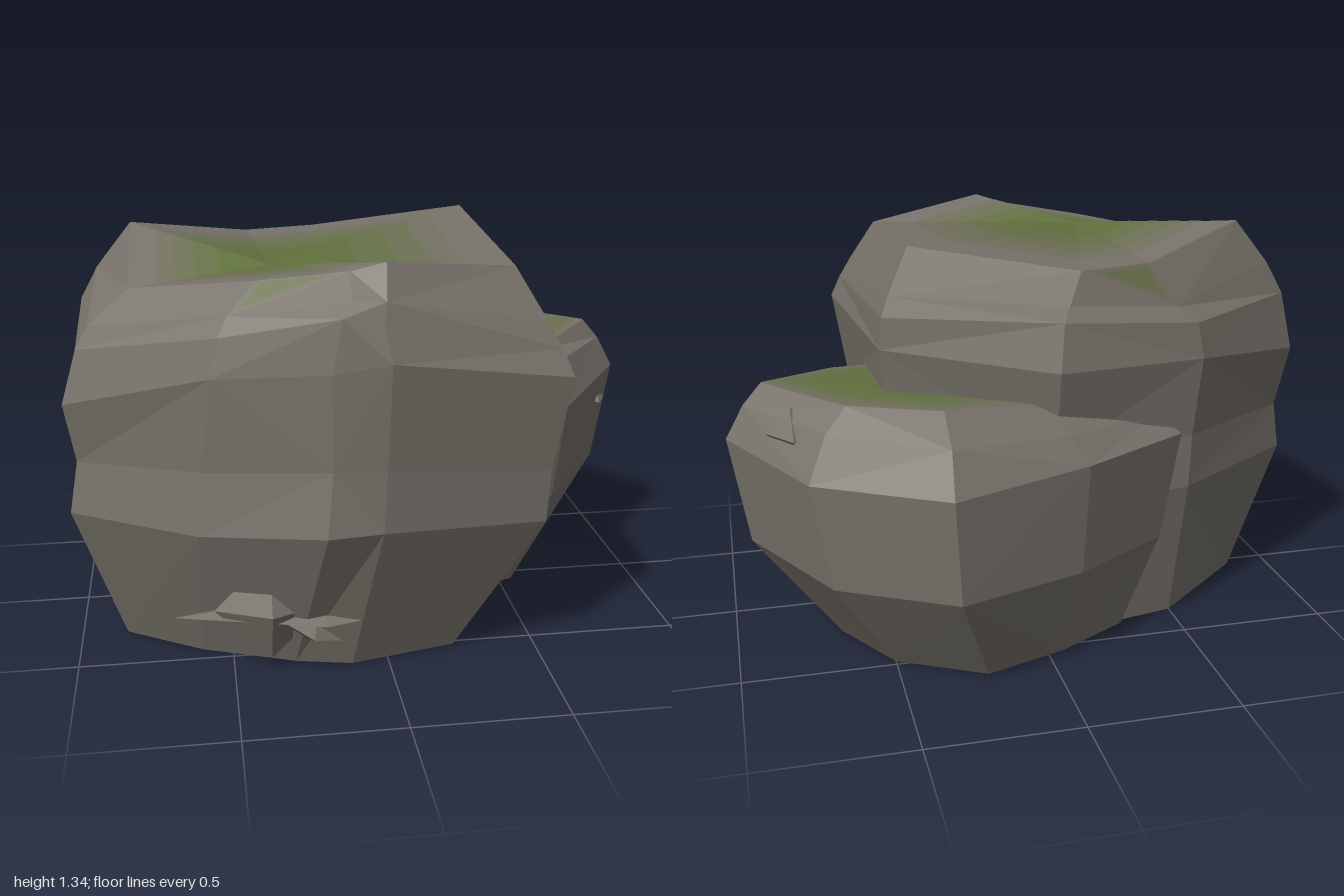
import * as THREE from 'three';

const stone = new THREE.MeshStandardMaterial({ color: 0x77726a, flatShading: true });
const mossColors = [0x72705f, 0x6c7054, 0x667048, 0x61703e];

function makeMesh(name, triangles, material) {
  const geometry = new THREE.BufferGeometry();
  geometry.setAttribute('position', new THREE.Float32BufferAttribute(triangles.flat(), 3));
  geometry.computeVertexNormals();
  const mesh = new THREE.Mesh(geometry, material);
  mesh.name = name;
  return mesh;
}

function centre(points) {
  return [0, 1, 2].map(k => points.reduce((sum, p) => sum + p[k], 0) / points.length);
}

// Joins cross-section rings (bottom to top) and closes both ends
function boulder(name, rings, top) {
  const tris = [];
  const n = rings[0].length;
  for (let r = 0; r < rings.length - 1; r++) {
    for (let i = 0; i < n; i++) {
      const j = (i + 1) % n;
      const [a, b, c, d] = [rings[r][i], rings[r][j], rings[r + 1][j], rings[r + 1][i]];
      if ((i + r) % 2) tris.push(a, b, c, a, c, d);
      else tris.push(a, b, d, b, c, d);
    }
  }
  const first = rings[0], last = rings[rings.length - 1];
  const bottom = centre(first);
  for (let i = 0; i < n; i++) {
    const j = (i + 1) % n;
    tris.push(bottom, first[j], first[i], top, last[i], last[j]);
  }
  return makeMesh(name, tris, stone);
}

// Moss layers lying on a stone face, greener toward the middle
function mossPatch(name, ring, middle, scales) {
  const group = new THREE.Group();
  group.name = name;
  scales.forEach((s, layer) => {
    const lift = 0.002 * (layer + 1);
    const edge = ring.map(p => p.map((v, k) => middle[k] + (v - middle[k]) * s + (k === 1 ? lift : 0)));
    const mid = [middle[0], middle[1] + lift, middle[2]];
    const tris = edge.flatMap((p, i) => [mid, p, edge[(i + 1) % edge.length]]);
    const material = new THREE.MeshStandardMaterial({ color: mossColors[layer], flatShading: true });
    group.add(makeMesh('mossLayer', tris, material));
  });
  return group;
}

// Small angular outcrop
function shard(name, position, size, turn = 0) {
  const mesh = new THREE.Mesh(new THREE.OctahedronGeometry(1), stone);
  mesh.name = name;
  mesh.position.set(...position);
  mesh.scale.set(...size);
  mesh.rotation.z = turn;
  return mesh;
}

// Large boulder rings, running left side, front, right side, back
const largeBase = [[-.85, 0, -.04], [-.85, 0, .28], [-.6, 0, .44], [-.3, 0, .56], [-.12, 0, .6],
  [.23, 0, .52], [.3, 0, -.3], [-.1, 0, -.42], [-.5, 0, -.34]];
const largeLow = [[-1, .49, -.09], [-1, .49, .38], [-.6, .5, .65], [-.22, .54, .82], [-.05, .54, .8],
  [.49, .49, .66], [.5, .5, -.38], [-.03, .5, -.52], [-.52, .5, -.42]];
const largeWaist = [[-.97, .66, -.1], [-.97, .66, .37], [-.58, .7, .63], [-.2, .74, .79], [-.04, .74, .8],
  [.5, .66, .66], [.49, .7, -.38], [-.03, .68, -.51], [-.53, .68, -.41]];
const largeHigh = [[-1, .88, -.14], [-1, .86, .4], [-.55, 1, .66], [-.2, 1.04, .8], [-.03, 1.07, .82],
  [.55, .97, .69], [.51, 1.04, -.4], [-.03, .97, -.56], [-.55, .95, -.43]];
// Ledge around the back and left, below the sloping shoulder
const largeLedge = [[-.96, 1.08, -.12], [-.95, 1.03, .38], [-.52, 1.12, .645], [-.17, 1.2, .79],
  [-.05, 1.17, .79], [.52, 1.05, .65], [.5, 1.14, -.39], [-.05, 1.12, -.52], [-.53, 1.07, -.42]];
const largeShoulder = [[-.9, 1.19, -.11], [-.91, 1.1, .37], [-.49, 1.18, .625], [-.14, 1.24, .75],
  [-.04, 1.24, .765], [.48, 1.13, .61], [.475, 1.2, -.37], [-.08, 1.16, -.47], [-.47, 1.12, -.39]];
const largeRim = [[-.78, 1.34, -.1], [-.78, 1.21, .34], [-.4, 1.27, .57], [-.13, 1.31, .66],
  [-.03, 1.34, .69], [.4, 1.28, .51], [.4, 1.34, -.3], [-.13, 1.26, -.42], [-.38, 1.26, -.35]];
const largeTop = [-.34, 1.265, .36];

// Small boulder rings in the same order
const smallBase = [[-.3, 0, -.4], [0, 0, 0], [.38, 0, .14], [.55, 0, .06],
  [.65, 0, -.23], [.5, 0, -.48], [.22, 0, -.63], [-.05, 0, -.54]];
const smallLow = [[-.42, .33, -.43], [0, .33, .05], [.47, .33, .22], [.68, .34, .1],
  [.93, .37, -.23], [.7, .34, -.6], [.34, .35, -.82], [-.08, .34, -.66]];
const smallHigh = [[-.48, .7, -.44], [0, .7, .1], [.52, .66, .23], [.72, .68, .11],
  [.99, .73, -.23], [.76, .69, -.6], [.36, .69, -.83], [-.1, .7, -.66]];
const smallShoulder = [[-.4, .76, -.4], [0, .8, .05], [.52, .8, .14], [.68, .83, .07],
  [.93, .84, -.23], [.7, .83, -.55], [.35, .82, -.74], [-.05, .78, -.6]];
const smallRim = [[-.2, .84, -.35], [0, .86, 0], [.5, .86, .06], [.62, .87, .02],
  [.87, .91, -.23], [.63, .9, -.5], [.35, .9, -.62], [0, .86, -.5]];
const smallTop = [.58, .895, -.26];

export function createModel() {
  const model = new THREE.Group();
  model.name = 'boulders';
  model.add(
    boulder('largeBoulder',
      [largeBase, largeLow, largeWaist, largeHigh, largeLedge, largeShoulder, largeRim], largeTop),
    boulder('smallBoulder', [smallBase, smallLow, smallHigh, smallShoulder, smallRim], smallTop),
    mossPatch('largeMoss', largeRim, largeTop, [.8, .67, .53, .36]),
    mossPatch('smallMoss', smallRim, smallTop, [1, .92, .8, .6])
  );

  // Moss creeping over the front and back shoulders
  const frontFace = [largeShoulder[2], largeRim[3], largeRim[2]];
  const backFace = [largeShoulder[8], largeRim[8], largeRim[7]];
  model.add(
    mossPatch('frontMoss', frontFace, centre(frontFace), [.95, .8, .6]),
    mossPatch('backMoss', backFace, centre(backFace), [.95, .8, .6])
  );

  // Jagged ledge low on the front
  model.add(
    shard('frontLedge', [-.21, .19, .57], [.48, .045, .13]),
    shard('frontKnob', [-.38, .22, .6], [.18, .18, .08]),
    shard('frontChip', [-.25, .14, .61], [.13, .04, .08], -.4)
  );

  // Chips on the right side of the small boulder and along its foot
  model.add(
    shard('sideCrag', [.79, .79, -.38], [.08, .08, .11]),
    shard('sideChip', [.92, .61, -.2], [.04, .05, .07]),
    shard('cornerCrag', [.58, .75, .12], [.1, .07, .07], .3),
    shard('footWedge', [.63, .13, -.08], [.07, .13, .08]),
    shard('footChip', [.48, .19, .18], [.1, .03, .14])
  );
  return model;
}
